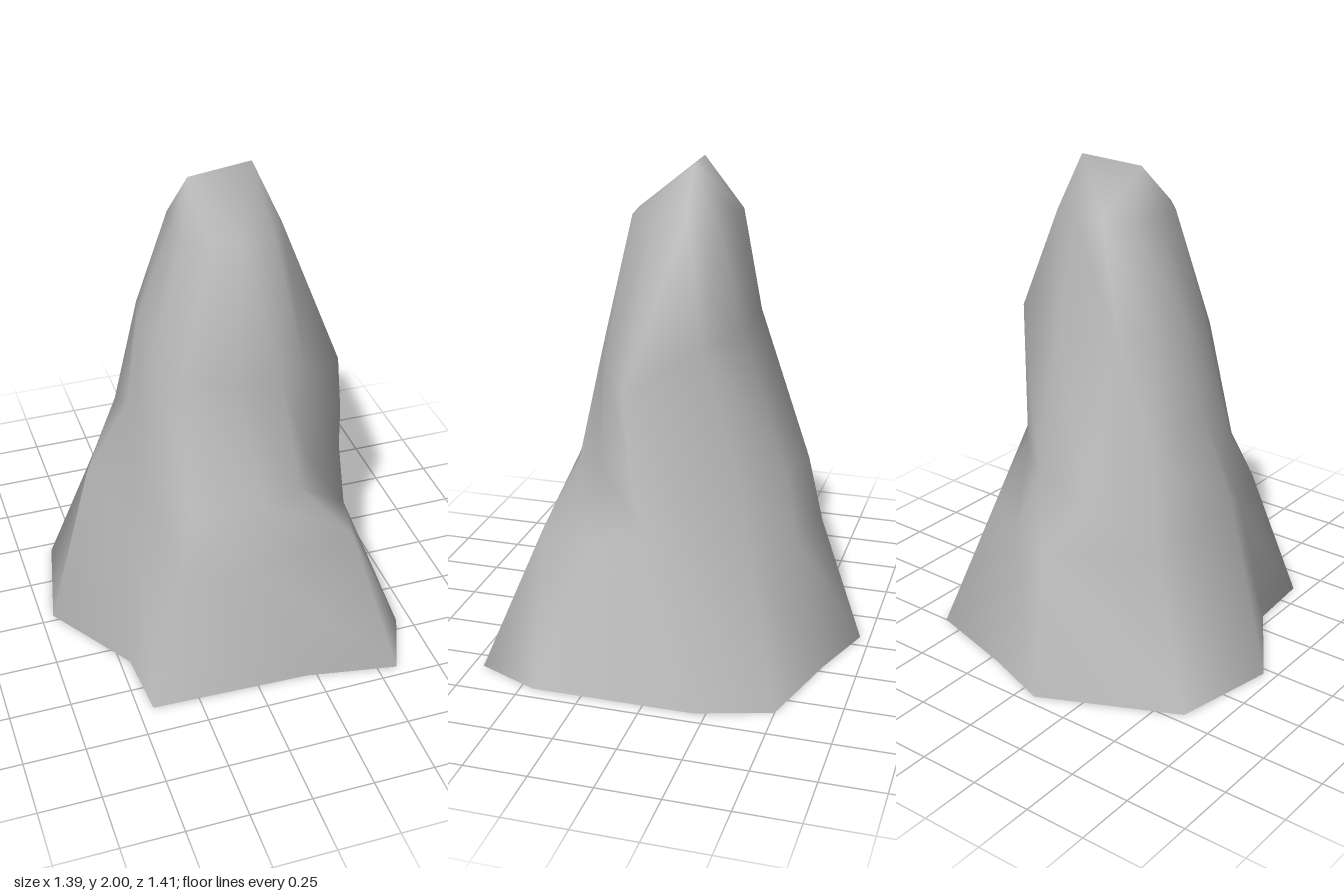
import * as THREE from 'three';
import { mergeVertices } from 'three/addons/utils/BufferGeometryUtils.js';

// Outline of the foot: x, z
const foot = [
  [-0.07, -0.71], [0.21, -0.61], [0.6, -0.5], [0.69, -0.2], [0.69, 0.45], [0.58, 0.705],
  [0.21, 0.64], [-0.44, 0.62], [-0.46, 0.34], [-0.7, -0.03], [-0.61, -0.455],
].map(([x, z]) => [x, 0, z]);

// Irregular cross-sections: x, y, z
const skirt = [
  [0.01, 0.55, -0.55], [0.2, 0.56, -0.48], [0.43, 0.55, -0.35], [0.56, 0.67, 0.03],
  [0.49, 0.56, 0.27], [0.44, 0.57, 0.485], [0.01, 0.55, 0.56], [-0.28, 0.56, 0.5],
  [-0.39, 0.55, 0.24], [-0.52, 0.72, -0.03], [-0.41, 0.58, -0.36],
];
const waist = [
  [-0.13, 0.76, -0.46], [0.13, 0.8, -0.42], [0.31, 0.84, -0.27], [0.53, 0.9, 0.09],
  [0.33, 0.82, 0.28], [0.24, 0.79, 0.4], [0.08, 0.77, 0.45], [-0.22, 0.77, 0.42],
  [-0.34, 0.87, 0.22], [-0.35, 1.05, 0], [-0.33, 0.9, -0.27],
];
const shoulder = [
  [-0.14, 1.37, -0.25], [0.15, 1.37, -0.25], [0.41, 1.37, -0.16], [0.49, 1.18, 0.13],
  [0.3, 1.23, 0.26], [0.18, 1.26, 0.31], [0, 1.27, 0.325], [-0.2, 1.3, 0.27],
  [-0.27, 1.38, 0.12], [-0.29, 1.41, -0.03], [-0.25, 1.4, -0.18],
];

// Squarish neck, then a short ridge that closes the peak
const squash = (v) => THREE.MathUtils.clamp(v * 1.15, -1, 1);
const neck = foot.map((_, i) => {
  const a = -1.92 + (i / foot.length) * Math.PI * 2;
  return [0.055 + 0.2 * squash(Math.cos(a)), 1.8, -0.005 + 0.197 * squash(Math.sin(a))];
});
const ridge = neck.map(([x]) => (x < 0.05 ? [-0.08, 1.985, -0.03] : [0.18, 2, -0.06]));

// Skin consecutive cross-sections with a smooth closed wall
function loft(rings) {
  const n = rings[0].length;
  const index = [];
  for (let r = 0; r < rings.length - 1; r++) {
    for (let i = 0; i < n; i++) {
      const j = (i + 1) % n;
      const a = r * n + i, b = r * n + j;
      index.push(a, a + n, b + n, a, b + n, b);
    }
  }
  const geometry = new THREE.BufferGeometry();
  geometry.setAttribute('position', new THREE.Float32BufferAttribute(rings.flat(2), 3));
  geometry.setIndex(index);
  const merged = mergeVertices(geometry);
  merged.computeVertexNormals();
  return merged;
}

export function createModel() {
  const group = new THREE.Group();
  group.name = 'rockSpire';

  const stone = new THREE.MeshStandardMaterial({ color: 0xb8b8b8, side: THREE.DoubleSide });
  stone.name = 'grey stone';

  // Hollow rock, open underneath
  const rock = new THREE.Mesh(loft([foot, skirt, waist, shoulder, neck, ridge]), stone);
  rock.name = 'rock';
  group.add(rock);
  return group;
}
